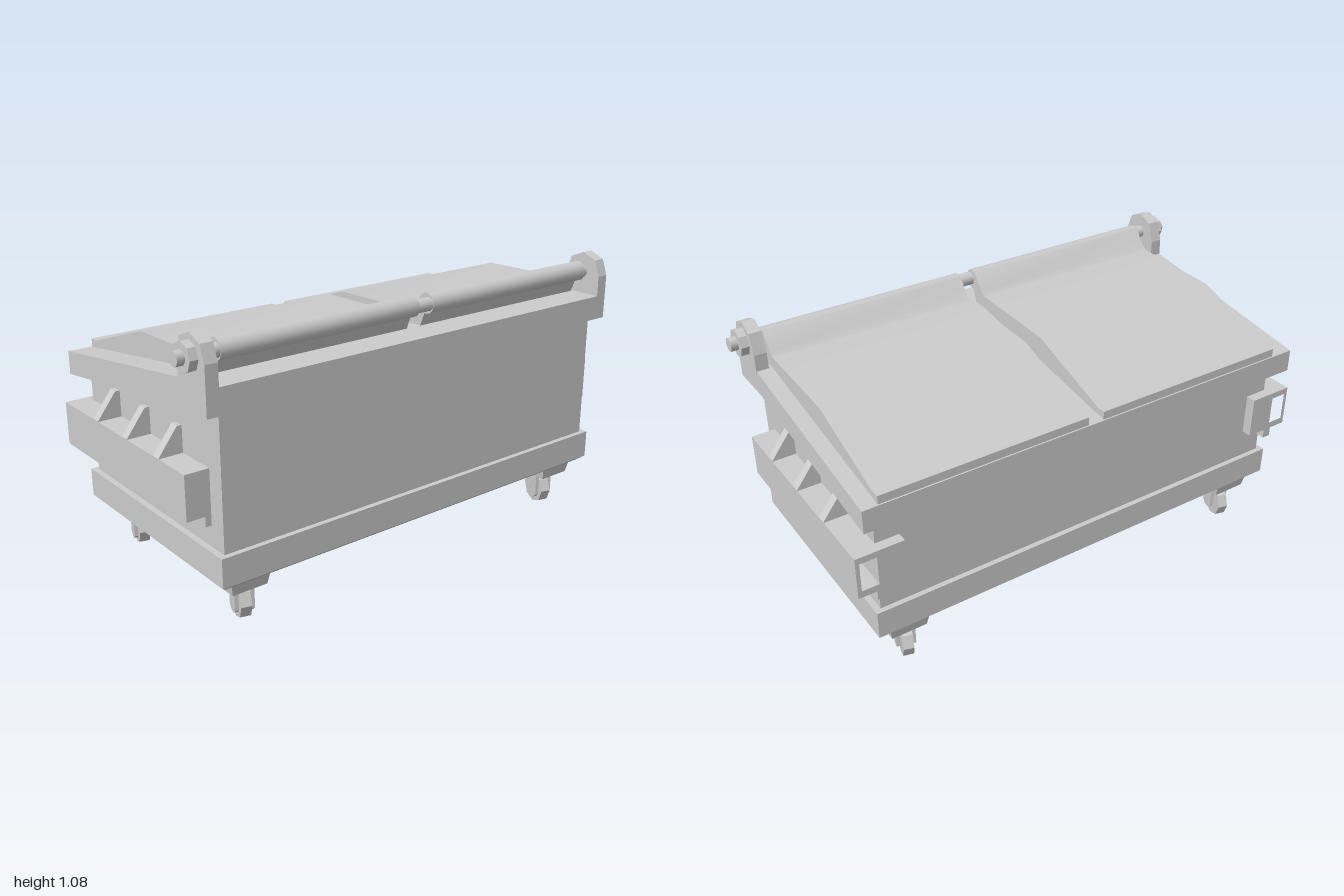
import * as THREE from 'three';
import { toCreasedNormals } from 'three/addons/utils/BufferGeometryUtils.js';

export function createModel() {
  const model = new THREE.Group();
  model.name = 'wheeledWasteContainer';
  const steel = new THREE.MeshStandardMaterial({ color: 0xcccccc });
  steel.name = 'grey steel';

  const add = (name, geometry, parent = model) => {
    const mesh = new THREE.Mesh(geometry, steel);
    mesh.name = name;
    parent.add(mesh);
    return mesh;
  };
  const toShape = (pts) => new THREE.Shape(pts.map(([a, b]) => new THREE.Vector2(a, b)));
  // Side profile of [z, y] points, extruded along x between x0 and x1
  const sideProfile = (pts, x0, x1) => {
    const g = new THREE.ExtrudeGeometry(toShape(pts), { depth: x1 - x0, bevelEnabled: false });
    return g.rotateY(-Math.PI / 2).translate(x1, 0, 0);
  };
  // Front profile of [x, y] points, extruded along z between z0 and z1
  const frontProfile = (shape, z0, z1) =>
    new THREE.ExtrudeGeometry(shape, { depth: z1 - z0, bevelEnabled: false }).translate(0, 0, z0);
  const block = (x0, x1, y0, y1, z0, z1) =>
    new THREE.BoxGeometry(x1 - x0, y1 - y0, z1 - z0)
      .translate((x0 + x1) / 2, (y0 + y1) / 2, (z0 + z1) / 2);
  // Box whose lower corners move inward by the inset
  const tapered = (x0, x1, y0, y1, z0, z1, inset) => {
    const g = block(x0, x1, y0, y1, z0, z1);
    const p = g.attributes.position;
    for (let i = 0; i < p.count; i++) {
      if (p.getY(i) > (y0 + y1) / 2) continue;
      p.setX(i, p.getX(i) + (p.getX(i) > (x0 + x1) / 2 ? -inset : inset));
      p.setZ(i, p.getZ(i) + (p.getZ(i) > (z0 + z1) / 2 ? -inset : inset));
    }
    g.computeVertexNormals();
    return g;
  };
  const rod = (r, x0, x1, sides) =>
    new THREE.CylinderGeometry(r, r, x1 - x0, sides).rotateZ(Math.PI / 2)
      .translate((x0 + x1) / 2, 0, 0);

  // Container walls with a sloping top
  add('body', sideProfile(
    [[0.467, 0.25], [0.467, 0.86], [0.32, 0.86], [-0.435, 0.75], [-0.435, 0.25]], -0.882, 0.882));
  // Bottom skirt with a chamfered lower edge
  add('skirt', block(-0.905, 0.905, 0.21, 0.32, -0.455, 0.487));
  add('skirtChamfer', tapered(-0.905, 0.905, 0.19, 0.21, -0.455, 0.487, 0.025));
  // Overhanging top rim
  add('rim', sideProfile(
    [[0.495, 0.815], [0.495, 0.91], [0.325, 0.91], [-0.49, 0.795], [-0.49, 0.705], [0.32, 0.815]],
    -0.94, 0.94));

  // Two lids with a rolled front edge around the hinge rod
  const lid = [[0.365, 0.9], [0.39, 0.962]];
  for (let i = 0; i <= 10; i++) {
    const a = THREE.MathUtils.degToRad(-80 + i * 20.5);
    lid.push([0.398 + 0.039 * Math.cos(a), 1.0 + 0.039 * Math.sin(a)]);
  }
  lid.push([0.33, 0.973], [0.308, 0.958], [-0.085, 0.948], [-0.45, 0.828], [-0.485, 0.828],
    [-0.485, 0.794], [0.325, 0.905]);
  for (const [name, x0, x1] of [['rightLid', -0.845, -0.017], ['leftLid', 0.048, 0.88]]) {
    add(name, toCreasedNormals(sideProfile(lid, x0, x1), 0.5));
  }

  // Hinge rod, reaching through both ears
  add('hingeRod', toCreasedNormals(rod(0.026, -1, 1, 12), 0.6)).position.set(0, 1, 0.41);

  const ear = [[0.495, 0.815], [0.495, 0.99], [0.472, 1.052], [0.41, 1.076], [0.352, 1.052],
    [0.326, 0.975], [0.326, 0.9]];
  for (const s of [1, -1]) {
    const side = s > 0 ? 'left' : 'right';
    const span = (a, b) => (s > 0 ? [a, b] : [-b, -a]);

    // Hinge ear and octagonal nut
    add(side + 'HingeEar', sideProfile(ear, ...span(0.893, 0.941)));
    const nut = rod(0.053, ...span(0.94, 0.972), 8).toNonIndexed();
    nut.computeVertexNormals();
    add(side + 'HingeNut', nut).position.set(0, 1, 0.41);

    // Fork pocket: a hollow box open at the rear
    const mirror = (pts) => pts.map(([x, y]) => [s * x, y]);
    const section = toShape(mirror([[0.79, 0.438], [0.975, 0.438], [0.975, 0.605], [0.79, 0.605]]));
    section.holes.push(toShape(mirror([[0.895, 0.465], [0.96, 0.465], [0.96, 0.58], [0.895, 0.58]])));
    add(side + 'ForkPocket', frontProfile(section, -0.475, 0.385));
    add(side + 'ForkPocketCap', block(...span(0.87, 0.975), 0.438, 0.605, 0.384, 0.395));
    add(side + 'PocketRail', block(...span(0.87, 0.905), 0.4, 0.44, -0.475, 0.395));

    // Triangular ribs above the pocket
    const rib = toShape(mirror([[0.87, 0.6], [0.975, 0.6], [0.975, 0.607], [0.9, 0.705], [0.87, 0.705]]));
    for (const z of [0.213, -0.006, -0.224]) {
      add(side + 'Rib', frontProfile(rib, z - 0.018, z + 0.018));
    }

    // Caster mounting bar
    add(side + 'CasterBar', tapered(...span(0.69, 0.85), 0.14, 0.192, -0.427, 0.45, 0.01));

    // Slightly swivelled casters, front and rear
    for (const z of [0.37, -0.35]) {
      const caster = new THREE.Group();
      caster.name = side + (z > 0 ? 'Front' : 'Rear') + 'Caster';
      caster.position.set(s * 0.76, 0, z);
      caster.rotation.y = -0.28;
      model.add(caster);
      const wheel = rod(0.067, -0.02, 0.02, 8).toNonIndexed();
      wheel.computeVertexNormals();
      add('wheel', wheel, caster).position.set(0, 0.067, -0.012);
      add('forkCrown', block(-0.036, 0.036, 0.128, 0.145, -0.032, 0.032), caster);
      const plate = [[0.032, 0.14], [-0.032, 0.14], [-0.032, 0.045], [-0.012, 0.03],
        [0.014, 0.03], [0.032, 0.045]];
      for (const x of [-0.036, 0.022]) add('forkPlate', sideProfile(plate, x, x + 0.014), caster);
    }
  }
  return model;
}
